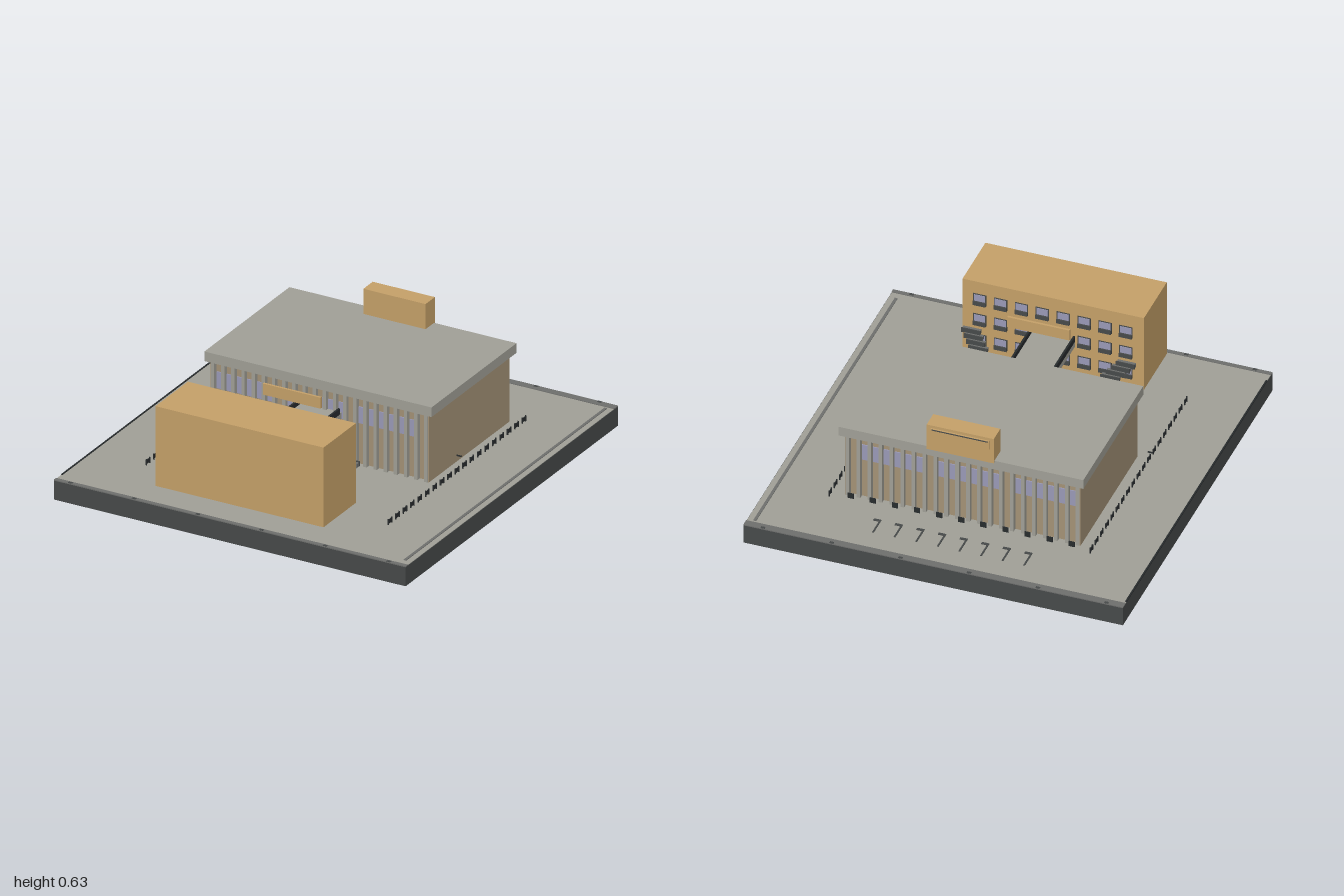
import * as THREE from 'three';

const mat = (name, color) => {
  const m = new THREE.MeshStandardMaterial({ color });
  m.name = name;
  return m;
};

export function createModel() {
  const tan = mat('tan', 0xc8a36a), grey = mat('concrete', 0xa3a299), dark = mat('darkGrey', 0x484b4b);
  const mid = mat('midGrey', 0x70716f), brown = mat('brownWall', 0xa69478), glass = mat('glass', 0x9c9cba);
  const black = mat('nearBlack', 0x282c2e);
  const root = new THREE.Group();
  root.name = 'buildingSite';

  const group = (name) => {
    const g = new THREE.Group();
    g.name = name;
    root.add(g);
    return g;
  };
  // box given by its limits along each axis
  const box = (parent, name, m, x0, x1, y0, y1, z0, z1) => {
    const mesh = new THREE.Mesh(new THREE.BoxGeometry(x1 - x0, y1 - y0, z1 - z0), m);
    mesh.position.set((x0 + x1) / 2, (y0 + y1) / 2, (z0 + z1) / 2);
    mesh.name = name;
    parent.add(mesh);
    return mesh;
  };

  // ground slab with pavement and curbs
  const site = group('ground');
  box(site, 'slab', dark, -0.945, 0.945, 0, 0.098, -1, 1);
  box(site, 'pavement', grey, -0.943, 0.943, 0.098, 0.1, -0.998, 0.998);
  box(site, 'frontCurb', mid, -0.945, 0.945, 0.098, 0.103, 0.978, 1);
  box(site, 'backCurb', mid, -0.945, 0.945, 0.098, 0.103, -1, -0.962);
  box(site, 'leftCurb', mid, 0.9, 0.914, 0.1, 0.103, -0.95, 0.94);
  box(site, 'rightCurb', black, -0.945, -0.937, 0.098, 0.103, -0.95, 0.93);
  for (let i = 0; i < 6; i++) {
    const x = -0.86 + i * 0.342;
    box(site, 'frontCurbMark', dark, x - 0.01, x + 0.01, 0.1, 0.105, 0.985, 0.998);
    box(site, 'backCurbMark', dark, x - 0.01, x + 0.01, 0.1, 0.105, -0.998, -0.985);
  }

  // main hall
  const hall = group('mainHall');
  box(hall, 'walls', brown, -0.58, 0.58, 0.1, 0.45, -0.585, 0.135);
  box(hall, 'roof', grey, -0.61, 0.61, 0.45, 0.5, -0.63, 0.17);
  for (const s of [-1, 1]) {
    box(hall, 'sideWall', brown, s * 0.581 - 0.006, s * 0.581 + 0.006, 0.1, 0.45, -0.605, 0.155);
  }
  const columns = 22;
  for (let i = 0; i < columns; i++) {
    const x = -0.573 + i * (1.146 / (columns - 1));
    for (const z of [0.146, -0.596]) {
      box(hall, 'column', grey, x - 0.009, x + 0.009, 0.1, 0.45, z - 0.012, z + 0.012);
      if (i < columns - 1 && i % 7 !== 6) {
        const zw = z > 0 ? 0.137 : -0.587;
        box(hall, 'window', glass, x + 0.011, x + 0.044, 0.31, 0.395, zw - 0.003, zw + 0.003);
      }
    }
  }

  // box on the roof with a plate on its back
  const top = group('roofHouse');
  box(top, 'roofBox', tan, -0.167, 0.167, 0.49, 0.63, -0.638, -0.55);
  box(top, 'backPlate', tan, -0.145, 0.145, 0.565, 0.615, -0.645, -0.637);
  box(top, 'plateLine', dark, -0.14, 0.14, 0.608, 0.613, -0.647, -0.644);

  // raised front block with windows facing the hall
  const block = group('frontBlock');
  box(block, 'blockBody', tan, -0.453, 0.45, 0.148, 0.56, 0.6, 0.905);
  for (let c = 0; c < 8; c++) {
    const x = -0.364 + c * 0.104;
    for (const y of [0.2, 0.315, 0.43]) {
      box(block, 'windowFrame', dark, x - 0.033, x + 0.033, y, y + 0.062, 0.597, 0.601);
      box(block, 'windowPane', glass, x - 0.028, x + 0.028, y + 0.02, y + 0.058, 0.595, 0.598);
      box(block, 'windowBox', dark, x - 0.032, x + 0.032, y, y + 0.022, 0.588, 0.6);
    }
  }

  // bridge joining the two buildings
  const bridge = group('bridge');
  box(bridge, 'deck', grey, -0.11, 0.11, 0.31, 0.345, 0.13, 0.605);
  for (const s of [-1, 1]) {
    box(bridge, 'railing', black, s * 0.106 - 0.005, s * 0.106 + 0.005, 0.34, 0.37, 0.155, 0.6);
  }
  box(bridge, 'hangingPanel', tan, -0.155, 0.155, 0.488, 0.545, 0.405, 0.417);

  // mirrored slanting stairs
  const steps = 13;
  for (const s of [-1, 1]) {
    const stairs = group(s > 0 ? 'leftStairs' : 'rightStairs');
    for (let i = 0; i < steps; i++) {
      const t = i / (steps - 1);
      const x = s * (0.16 + 0.225 * t), z = 0.325 + 0.22 * t, y = 0.1 + 0.205 * t;
      box(stairs, 'step', mid, x - 0.045, x + 0.045, y, y + 0.02, z - 0.012, z + 0.012);
      box(stairs, 'stepEdge', dark, x - 0.047, x + 0.047, y, y + 0.025, z - 0.014, z - 0.009);
    }
    box(stairs, 'stairPost', black, s * 0.16 - 0.004, s * 0.16 + 0.004, 0.1, 0.13, 0.3, 0.325);
  }

  // low fence panels beside and behind the hall
  const fence = group('lowFences');
  for (const s of [-1, 1]) {
    for (let i = 0; i < 19; i++) {
      const z = -0.63 + i * 0.07;
      box(fence, 'fencePanel', black, s * 0.65 - 0.002, s * 0.65 + 0.002, 0.106, 0.126, z - 0.015, z + 0.015);
      for (const d of [-0.015, 0.015]) {
        box(fence, 'fencePost', black, s * 0.65 - 0.003, s * 0.65 + 0.003, 0.1, 0.13, z + d - 0.002, z + d + 0.002);
      }
    }
    // small hovering lamp heads
    box(fence, 'lampHead', black, s * 0.69 - 0.013, s * 0.69 + 0.013, 0.217, 0.222, 0.048, 0.054);
  }
  for (let i = 0; i < 11; i++) {
    const x = -0.55 + i * 0.11;
    box(fence, 'backFencePanel', black, x - 0.015, x + 0.015, 0.1, 0.128, -0.626, -0.622);
  }

  // parking bay lines
  const parking = group('parkingLines');
  for (let i = 0; i < 8; i++) {
    const x = -0.395 + i * 0.1075;
    box(parking, 'bayLine', dark, x - 0.004, x + 0.004, 0.1, 0.103, -0.845, -0.74);
    box(parking, 'bayFoot', dark, x, x + 0.033, 0.1, 0.103, -0.755, -0.74);
  }
  return root;
}
